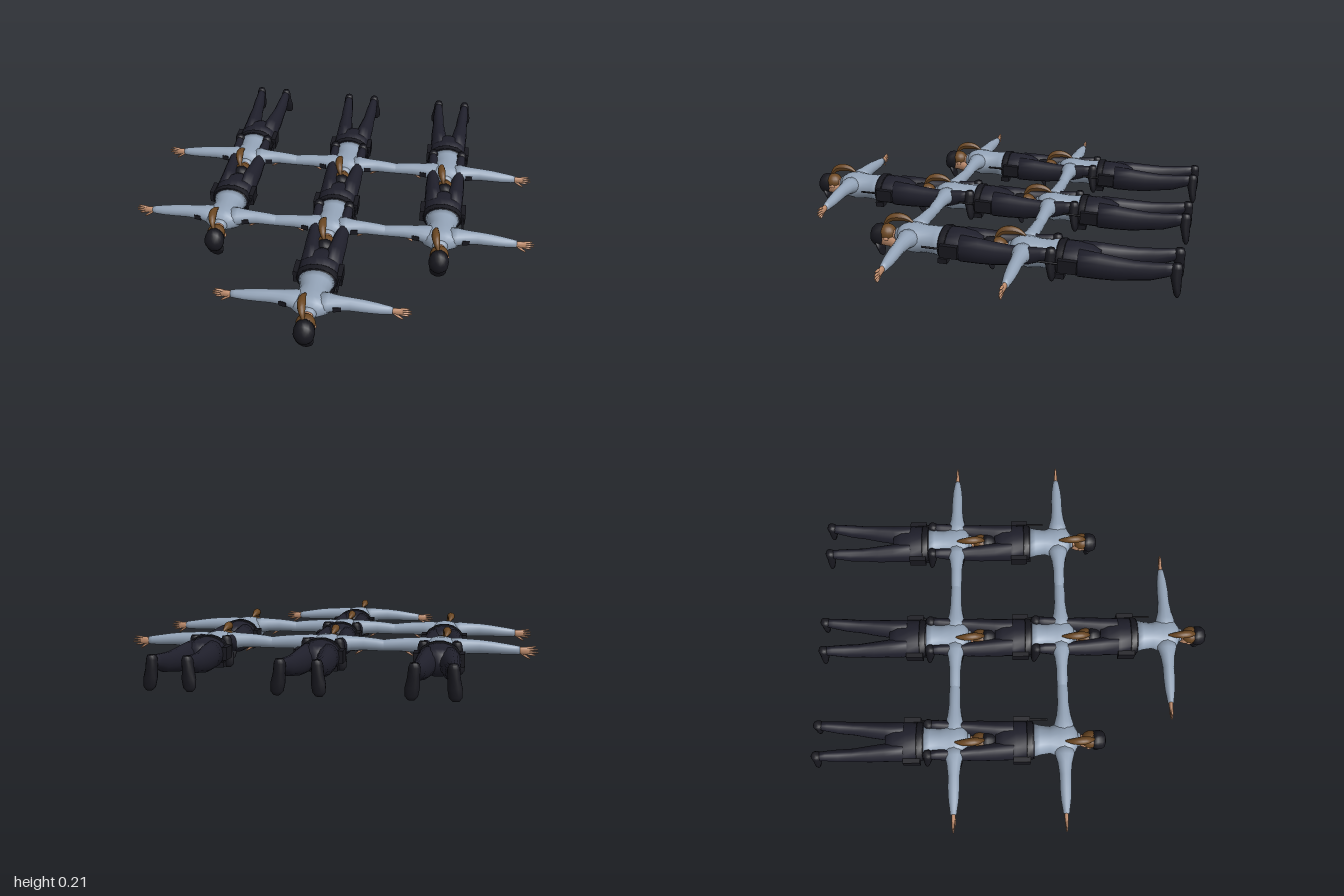
import * as THREE from 'three';

const mat = (name, color) => {
  const m = new THREE.MeshStandardMaterial({ color });
  m.name = name;
  return m;
};

// Closed tube through elliptical sections [t, cu, cv, ru, rv] along an axis.
// Cross-section axes: x -> (y, z), y -> (z, x), z -> (x, y).
function loft(axis, sections, n = 14) {
  const a = { x: 0, y: 1, z: 2 }[axis];
  const secs = sections[0][0] > sections.at(-1)[0] ? [...sections].reverse() : sections;
  const pos = [], idx = [];
  const put = (t, u, v) => {
    const p = [0, 0, 0];
    p[a] = t; p[(a + 1) % 3] = u; p[(a + 2) % 3] = v;
    pos.push(...p);
  };
  for (const [t, cu, cv, ru, rv] of secs)
    for (let i = 0; i < n; i++) {
      const w = (i / n) * Math.PI * 2;
      put(t, cu + ru * Math.cos(w), cv + rv * Math.sin(w));
    }
  const last = (secs.length - 1) * n;
  for (let s = 0; s < last; s += n)
    for (let i = 0; i < n; i++) {
      const j = (i + 1) % n;
      idx.push(s + i, s + j, s + n + i, s + j, s + n + j, s + n + i);
    }
  const c = pos.length / 3;
  put(...secs[0].slice(0, 3));
  put(...secs.at(-1).slice(0, 3));
  for (let i = 0; i < n; i++) {
    const j = (i + 1) % n;
    idx.push(c, j, i, c + 1, last + i, last + j);
  }
  const g = new THREE.BufferGeometry();
  g.setAttribute('position', new THREE.Float32BufferAttribute(pos, 3));
  g.setIndex(idx);
  g.computeVertexNormals();
  return g;
}

// One figure lying face down, head towards +z, arms along x at z = 0
function createFigure() {
  const shirt = mat('shirt blue', 0x94a4b8), cloth = mat('trouser navy', 0x20202c);
  const gear = mat('gear black', 0x18181f), skin = mat('skin', 0xc4906f);
  const hair = mat('hair brown', 0x6b4722);
  const fig = new THREE.Group();
  const add = (name, geo, m, x = 0, y = 0, z = 0) => {
    const mesh = new THREE.Mesh(geo, m);
    mesh.name = name;
    mesh.position.set(x, y, z);
    fig.add(mesh);
    return mesh;
  };
  const ball = (name, m, x, y, z, rx, ry, rz) =>
    add(name, new THREE.SphereGeometry(1, 16, 12), m, x, y, z).scale.set(rx, ry, rz);
  const box = (name, m, x, y, z, w, h, d) => add(name, new THREE.BoxGeometry(w, h, d), m, x, y, z);

  // Torso, collar and neck
  add('shirtTorso', loft('z', [
    [-0.16, 0, 0.112, 0.088, 0.07], [-0.12, 0, 0.113, 0.075, 0.066], [-0.07, 0, 0.114, 0.068, 0.065],
    [-0.02, 0, 0.113, 0.088, 0.069], [0.02, 0, 0.118, 0.098, 0.062], [0.047, 0, 0.124, 0.075, 0.048],
    [0.066, 0, 0.124, 0.04, 0.036]], 18), shirt);
  add('collar', loft('z', [[0.055, 0, 0.122, 0.042, 0.038], [0.08, 0, 0.12, 0.032, 0.032]]), shirt);
  add('neck', loft('z', [[0.05, 0, 0.12, 0.025, 0.026], [0.11, 0, 0.115, 0.024, 0.025]]), skin);

  // Head, hair and features
  add('head', loft('z', [
    [0.075, 0, 0.075, 0.012, 0.016], [0.085, 0, 0.085, 0.026, 0.032], [0.105, 0, 0.094, 0.036, 0.044],
    [0.14, 0, 0.1, 0.04, 0.046], [0.175, 0, 0.1, 0.036, 0.042]]), skin);
  add('nose', loft('z', [[0.105, 0, 0.05, 0.008, 0.01], [0.13, 0, 0.055, 0.003, 0.004]], 8), skin);
  ball('backHair', hair, 0, 0.122, 0.13, 0.044, 0.042, 0.045);
  const tail = new THREE.CatmullRomCurve3([[-0.005, 0.15, 0.15], [-0.018, 0.187, 0.12], [-0.025, 0.196, 0.08],
    [-0.026, 0.192, 0.04], [-0.02, 0.178, 0.005]].map(p => new THREE.Vector3(...p)));
  const tailGeo = new THREE.TubeGeometry(tail, 12, 1, 10);
  // Ponytail swells in the middle and tapers at both ends
  const tp = tailGeo.attributes.position, v = new THREE.Vector3();
  for (let i = 0; i < tp.count; i++) {
    const t = Math.floor(i / 11) / 12, c = tail.getPointAt(t);
    v.fromBufferAttribute(tp, i).sub(c).multiplyScalar(0.004 + 0.016 * Math.sin(Math.PI * t)).add(c);
    tp.setXYZ(i, v.x, v.y, v.z);
  }
  tailGeo.computeVertexNormals();
  add('ponytail', tailGeo, hair);

  // Cap with a brim that reaches down past the forehead
  add('cap', loft('z', [
    [0.143, 0, 0.112, 0.043, 0.05], [0.165, 0, 0.108, 0.048, 0.055], [0.188, 0, 0.105, 0.046, 0.052],
    [0.203, 0, 0.103, 0.034, 0.038], [0.21, 0, 0.102, 0.012, 0.014]], 18), gear);
  add('capBrim', loft('y', [
    [0.004, 0.153, 0, 0.004, 0.014], [0.02, 0.158, 0, 0.006, 0.032], [0.045, 0.166, 0, 0.012, 0.04],
    [0.075, 0.172, 0, 0.018, 0.042]]), gear);

  // Hips, belt and small equipment
  add('hips', loft('z', [
    [-0.34, 0, 0.112, 0.05, 0.045], [-0.3, 0, 0.11, 0.093, 0.062], [-0.24, 0, 0.11, 0.1, 0.07],
    [-0.15, 0, 0.112, 0.09, 0.071]], 18), cloth);
  add('belt', loft('z', [
    [-0.186, 0, 0.112, 0.1, 0.075], [-0.182, 0, 0.112, 0.102, 0.077],
    [-0.157, 0, 0.112, 0.097, 0.076], [-0.153, 0, 0.112, 0.094, 0.074]], 18), gear);
  for (const x of [-0.06, 0.06]) box('beltPouch', gear, x, 0.047, -0.17, 0.04, 0.024, 0.045);
  add('baton', new THREE.CylinderGeometry(0.005, 0.005, 0.15, 8), gear, 0.103, 0.12, -0.155).rotation.x = Math.PI / 2;

  for (const s of [1, -1]) {
    const side = s > 0 ? 'left' : 'right';
    ball(side + 'Ear', skin, s * 0.041, 0.104, 0.122, 0.006, 0.009, 0.012);
    ball(side + 'Eye', gear, s * 0.016, 0.061, 0.135, 0.007, 0.004, 0.004);
    box(side + 'Holster', gear, s * 0.103, 0.112, -0.21, 0.024, 0.06, 0.085);

    // Sleeve with a dark shoulder patch
    add(side + 'Sleeve', loft('x', [
      [s * 0.04, 0.128, 0, 0.045, 0.055], [s * 0.08, 0.134, 0, 0.042, 0.048], [s * 0.12, 0.137, 0, 0.036, 0.036],
      [s * 0.18, 0.137, 0, 0.033, 0.029], [s * 0.24, 0.134, 0, 0.03, 0.029], [s * 0.3, 0.129, 0, 0.026, 0.025],
      [s * 0.345, 0.126, 0, 0.022, 0.018], [s * 0.365, 0.125, 0, 0.019, 0.015]]), shirt);
    box(side + 'ShoulderPatch', gear, s * 0.122, 0.13, 0.034, 0.036, 0.026, 0.008).rotation.y = s * 0.25;

    // Hand, fanned fingers and thumb
    add(side + 'Palm', loft('x', [
      [s * 0.35, 0.125, 0, 0.014, 0.011], [s * 0.38, 0.123, 0, 0.018, 0.01], [s * 0.41, 0.123, 0, 0.02, 0.008]], 10), skin);
    for (let i = 0; i < 4; i++) {
      const y = 0.108 + i * 0.01, end = [0.437, 0.45, 0.448, 0.438][i];
      add(side + 'Finger', loft('x', [
        [s * 0.4, y, 0, 0.006, 0.007], [s * 0.425, y + (i - 1.5) * 0.002, 0, 0.005, 0.006],
        [s * end, y + (i - 1.5) * 0.004, 0, 0.003, 0.003]], 8), skin);
    }
    add(side + 'Thumb', loft('x', [
      [s * 0.37, 0.115, 0.002, 0.009, 0.008], [s * 0.392, 0.098, 0.004, 0.007, 0.007],
      [s * 0.412, 0.085, 0.005, 0.004, 0.004]], 8), skin);

    // Trouser leg and boot with toes down
    add(side + 'Leg', loft('z', [
      [-0.67, s * 0.077, 0.15, 0.021, 0.026], [-0.63, s * 0.074, 0.14, 0.025, 0.033],
      [-0.57, s * 0.071, 0.126, 0.031, 0.042], [-0.5, s * 0.067, 0.117, 0.032, 0.046],
      [-0.42, s * 0.061, 0.111, 0.04, 0.055], [-0.34, s * 0.054, 0.11, 0.045, 0.061],
      [-0.25, s * 0.048, 0.11, 0.05, 0.064]]), cloth);
    add(side + 'Boot', loft('y', [
      [0.03, -0.686, s * 0.088, 0.008, 0.014], [0.045, -0.684, s * 0.087, 0.015, 0.027],
      [0.08, -0.68, s * 0.084, 0.02, 0.031], [0.12, -0.674, s * 0.08, 0.025, 0.026],
      [0.16, -0.673, s * 0.077, 0.027, 0.025], [0.178, -0.676, s * 0.077, 0.018, 0.018]]), gear);
  }
  return fig;
}

export function createModel() {
  const model = new THREE.Group();
  model.name = 'formation';
  const figure = createFigure();
  // One leader and two rows of three
  const spots = [[0, 0.79]];
  for (const z of [0.245, -0.3]) for (const x of [-0.547, 0, 0.547]) spots.push([x, z]);
  spots.forEach(([x, z], i) => {
    const f = figure.clone();
    f.name = 'figure' + (i + 1);
    f.position.set(x, 0, z);
    model.add(f);
  });
  return model;
}
